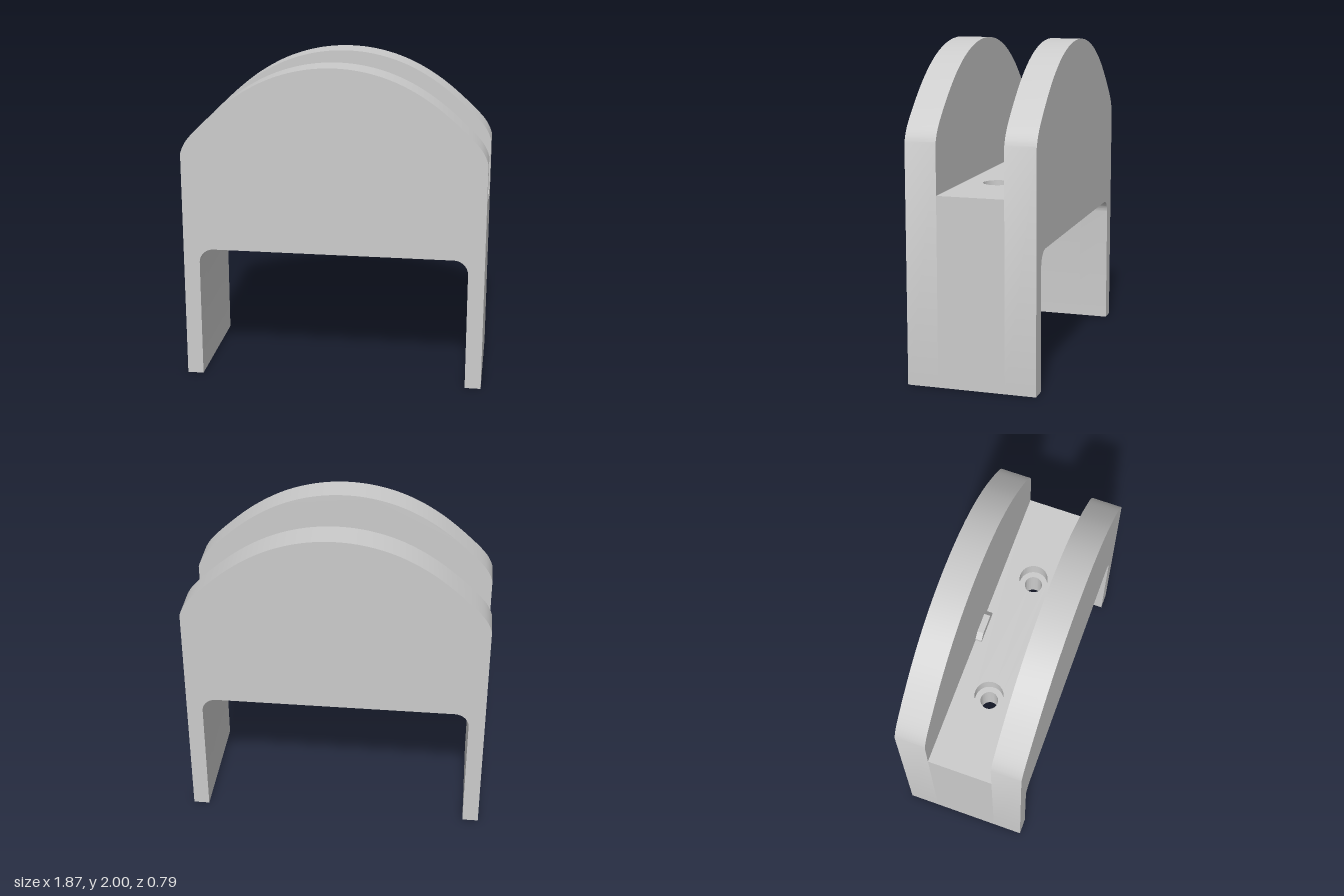
import * as THREE from 'three';
import { toCreasedNormals } from 'three/addons/utils/BufferGeometryUtils.js';

const W = 0.935, INNER = 0.835, DECK = 0.84, FLOOR = 1.15, FILLET = 0.09;
const DEPTH = 0.395, SLOT = 0.205;

export function createModel() {
  const group = new THREE.Group();
  const material = new THREE.MeshStandardMaterial({ color: 0xcccccc });

  function add(name, geometry, x = 0, y = 0, z = 0) {
    const mesh = new THREE.Mesh(toCreasedNormals(geometry, 0.4), material);
    mesh.name = name;
    mesh.position.set(x, y, z);
    group.add(mesh);
    return mesh;
  }
  const extrude = (shape, depth) =>
    new THREE.ExtrudeGeometry(shape, { depth, bevelEnabled: false, curveSegments: 24 });

  // Domed cheek profile with the arch cut out below
  const half = [[0.935, 1.45], [0.92, 1.49], [0.89, 1.54], [0.8, 1.635], [0.6, 1.803], [0.4, 1.917], [0.2, 1.98]];
  const crown = [...half, [0, 2], ...half.map(([x, y]) => [-x, y]).reverse()];
  const dome = new THREE.CatmullRomCurve3(crown.map(([x, y]) => new THREE.Vector3(x, y, 0))).getPoints(84);
  const cheek = new THREE.Shape();
  cheek.moveTo(INNER, 0);
  cheek.lineTo(W, 0);
  dome.forEach((p) => cheek.lineTo(p.x, p.y));
  cheek.lineTo(-W, 0);
  cheek.lineTo(-INNER, 0);
  cheek.lineTo(-INNER, DECK - FILLET);
  cheek.absarc(-INNER + FILLET, DECK - FILLET, FILLET, Math.PI, Math.PI / 2, true);
  cheek.lineTo(INNER - FILLET, DECK);
  cheek.absarc(INNER - FILLET, DECK - FILLET, FILLET, Math.PI / 2, 0, true);
  cheek.closePath();
  add('frontCheek', extrude(cheek, DEPTH - SLOT), 0, 0, SLOT);
  add('backCheek', extrude(cheek, DEPTH - SLOT), 0, 0, -DEPTH);

  // Leg middles between the cheeks, filleted under the deck
  for (const s of [1, -1]) {
    const leg = new THREE.Shape();
    leg.moveTo(s * INNER, 0);
    leg.lineTo(s * W, 0);
    leg.lineTo(s * W, FLOOR);
    leg.lineTo(s * (INNER - FILLET), FLOOR);
    leg.lineTo(s * (INNER - FILLET), DECK);
    leg.absarc(s * (INNER - FILLET), DECK - FILLET, FILLET, Math.PI / 2, s > 0 ? 0 : Math.PI, s > 0);
    add(s > 0 ? 'leftLeg' : 'rightLeg', extrude(leg, 2 * SLOT), 0, 0, -SLOT);
  }

  // Deck in two layers: bolt holes below, wider counterbores above
  function deckLayer(name, y0, y1, radius) {
    const w = INNER - FILLET;
    const plate = new THREE.Shape([[-w, -SLOT], [w, -SLOT], [w, SLOT], [-w, SLOT]].map((p) => new THREE.Vector2(...p)));
    for (const x of [-0.415, 0.415]) {
      plate.holes.push(new THREE.Path().absarc(x, 0, radius, 0, Math.PI * 2, true));
    }
    add(name, extrude(plate, y1 - y0).rotateX(-Math.PI / 2), 0, y0, 0);
  }
  deckLayer('lowerDeck', DECK, FLOOR - 0.1, 0.055);
  deckLayer('upperDeck', FLOOR - 0.1, FLOOR, 0.09);

  // Small chamfered key against the back cheek
  const key = new THREE.Shape([[-0.1, 0], [0.1, 0], [0.1, 0.02], [0.062, 0.062], [-0.062, 0.062], [-0.1, 0.02]]
    .map((p) => new THREE.Vector2(...p)));
  add('slotKey', extrude(key, 0.04), 0, FLOOR, -SLOT);

  return group;
}
